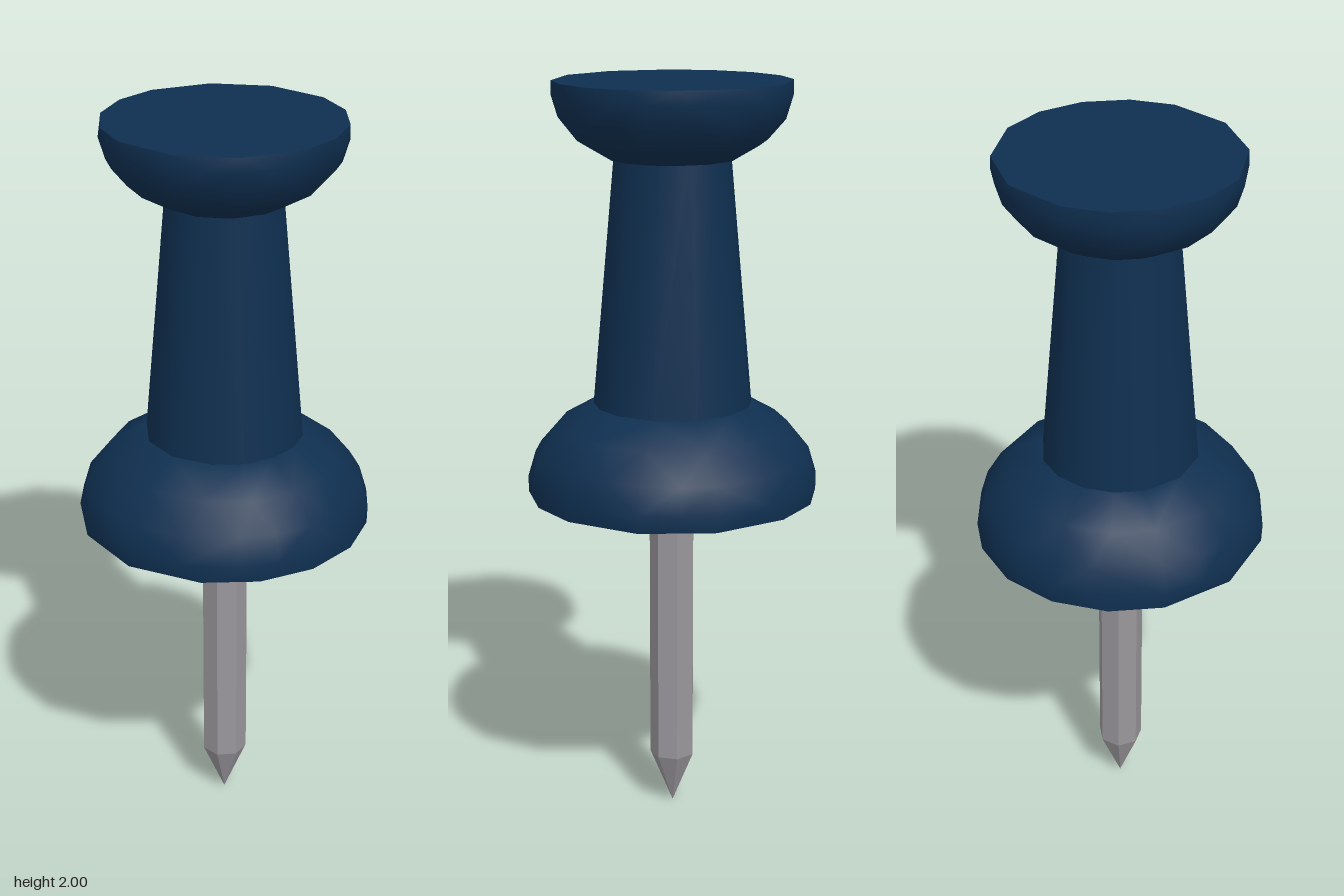
import * as THREE from 'three';
import { toCreasedNormals } from 'three/addons/utils/BufferGeometryUtils.js';
import { ConvexGeometry } from 'three/addons/geometries/ConvexGeometry.js';

// Uneven facet angles (degrees, x towards z) for half a turn; the other half repeats them
const fullTurn = (half) => [...half, ...half.map((a) => a + 180)];
const RIM = fullTurn([0, 22.5, 45, 67.4, 98, 128, 158.4]);
const BELT = fullTurn([8, 21.5, 37.5, 53, 75, 97, 112, 128, 142.5, 158]);

function ring(angles, radius, y) {
  return angles.map((deg) => {
    const a = THREE.MathUtils.degToRad(deg);
    return new THREE.Vector3(radius * Math.cos(a), y, radius * Math.sin(a));
  });
}

// Faceted solid through stacked rings, smooth across shallow edges
function solid(rings, crease) {
  return toCreasedNormals(new ConvexGeometry(rings.flat()), crease);
}

export function createModel() {
  const plastic = new THREE.MeshStandardMaterial({ color: 0x0f2f50 });
  plastic.name = 'navy plastic';
  const steel = new THREE.MeshStandardMaterial({ color: 0x9a979c });
  steel.name = 'steel';

  const group = new THREE.Group();
  group.name = 'pushPin';
  const add = (name, geometry, material) => {
    const mesh = new THREE.Mesh(geometry, material);
    mesh.name = name;
    group.add(mesh);
    return mesh;
  };

  // Domed flange, flat on its underside
  const dome = solid([
    ring(RIM, 0.385, 0),
    ring(BELT, 0.386, 0.045),
    ring(BELT, 0.365, 0.115),
    ring(RIM, 0.305, 0.19),
    ring(RIM, 0.21, 0.245),
  ], 0.8);
  add('base', dome, plastic).position.y = 0.915;

  // The head is the same dome, smaller and upside down
  const head = add('head', dome, plastic);
  head.scale.setScalar(0.8);
  head.rotation.x = Math.PI;
  head.position.y = 2;

  // Tapered grip between them
  add('grip', solid([ring(RIM, 0.21, 1.15), ring(RIM, 0.15, 1.82)], 0.8), plastic);

  // Seven-sided needle with a pointed tip
  const sides = Array.from({ length: 7 }, (_, i) => 180 + (i * 360) / 7);
  add('needle', solid([
    ring(sides, 0.062, 0.93),
    ring(sides, 0.062, 0.15),
    [new THREE.Vector3(0, 0, 0)],
  ], 0.3), steel);

  return group;
}
